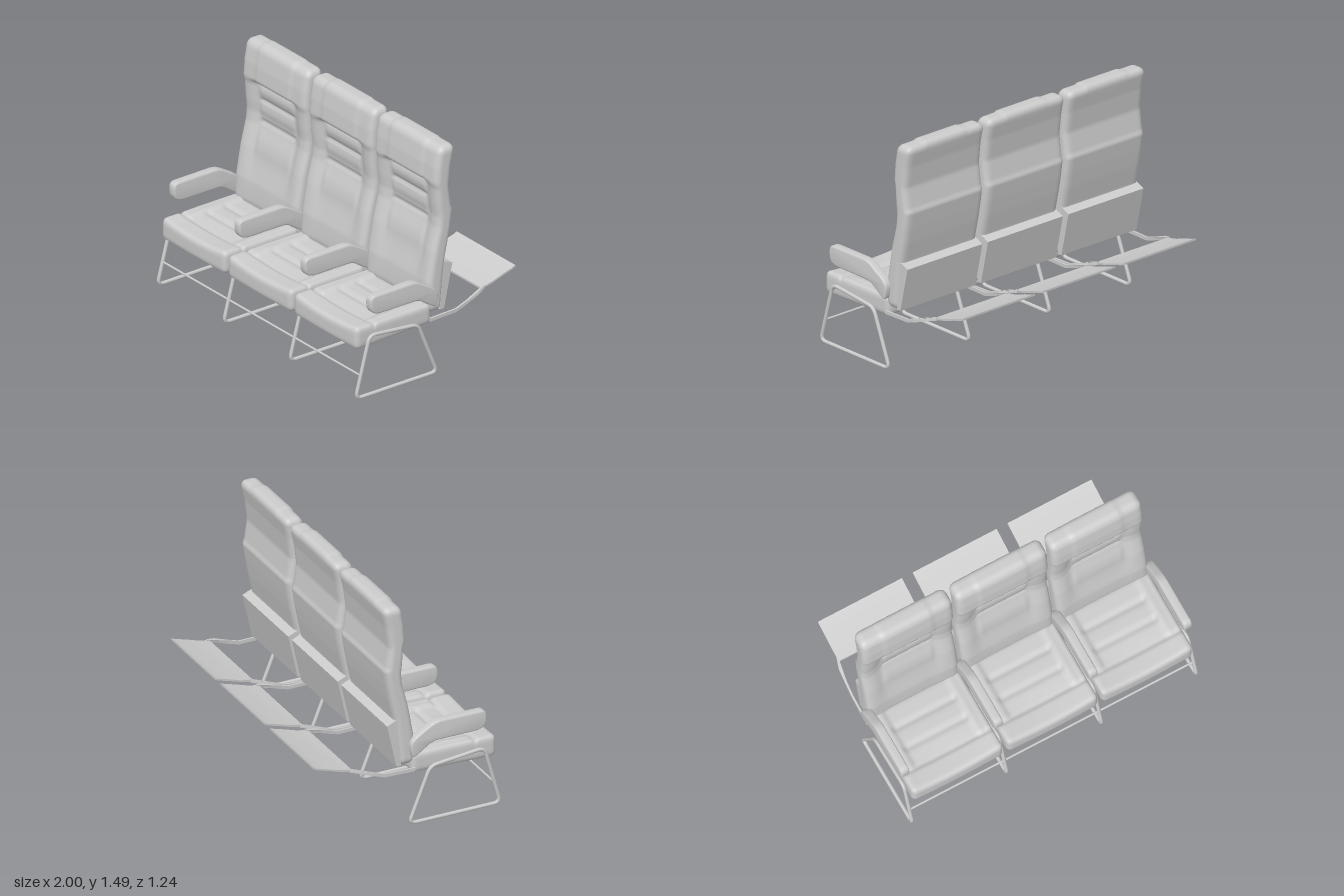
import * as THREE from 'three';
import { mergeVertices, toCreasedNormals } from 'three/addons/utils/BufferGeometryUtils.js';

const mat = new THREE.MeshStandardMaterial({ color: 0xcccccc, roughness: 0.8, side: THREE.DoubleSide });
const PITCH = 0.651, MID = -0.003;
const step = THREE.MathUtils.smoothstep;
const bump = (v, c, w) => Math.exp(-(((v - c) / w) ** 2));

function add(parent, name, geometry, x = 0) {
  const mesh = new THREE.Mesh(geometry, mat);
  mesh.name = name;
  mesh.position.x = x;
  parent.add(mesh);
  return mesh;
}

// Piecewise linear lookup in [[key, value], ...]
function lookup(table, k) {
  for (let i = 1; i < table.length; i++) {
    const [a, va] = table[i - 1], [b, vb] = table[i];
    if (k <= b || i === table.length - 1) {
      return va + (vb - va) * THREE.MathUtils.clamp((k - a) / (b - a), 0, 1);
    }
  }
}

// Dense rounded box whose vertices are then moved by a rule
function pad(size, segs, r, rule) {
  const g = new THREE.BoxGeometry(...size, ...segs);
  g.deleteAttribute('uv');
  g.deleteAttribute('normal');
  const pos = g.attributes.position, p = new THREE.Vector3(), q = new THREE.Vector3();
  const lim = new THREE.Vector3(...size).multiplyScalar(0.5).subScalar(r);
  const low = lim.clone().negate();
  for (let i = 0; i < pos.count; i++) {
    p.fromBufferAttribute(pos, i);
    q.copy(p).clamp(low, lim);
    p.sub(q).setLength(r).add(q);
    rule(p);
    pos.setXYZ(i, p.x, p.y, p.z);
  }
  const merged = mergeVertices(g, 1e-5);
  merged.computeVertexNormals();
  return merged;
}

// Closed outline of [z, y] points with rounded corners
function roundedLoop(pts, r) {
  const shape = new THREE.Shape(), v = pts.map(p => new THREE.Vector2(...p)), n = v.length;
  const toward = (a, b) => a.clone().add(b.clone().sub(a).setLength(Math.min(r, a.distanceTo(b) * 0.48)));
  v.forEach((c, i) => {
    const a = toward(c, v[(i + n - 1) % n]), b = toward(c, v[(i + 1) % n]);
    if (i) shape.lineTo(a.x, a.y); else shape.moveTo(a.x, a.y);
    shape.quadraticCurveTo(c.x, c.y, b.x, b.y);
  });
  shape.closePath();
  return shape;
}

// Side outline extruded across x and centred
function across(shape, width, bevel = 0) {
  const g = new THREE.ExtrudeGeometry(shape, {
    depth: width - 2 * bevel, bevelEnabled: bevel > 0, bevelSize: bevel, bevelOffset: -bevel,
    bevelThickness: bevel, bevelSegments: 3, curveSegments: 6,
  });
  g.translate(0, 0, -(width - 2 * bevel) / 2);
  g.rotateY(-Math.PI / 2);
  return toCreasedNormals(g, 0.6);
}

// Outline of a strip of height t that follows [z, y] points
function strip(pts, t) {
  const top = pts.map(([z, y]) => new THREE.Vector2(z, y + t / 2));
  const bottom = pts.map(([z, y]) => new THREE.Vector2(z, y - t / 2)).reverse();
  return new THREE.Shape([...top, ...bottom]);
}

// Seat cushion: front roll, raised sides, pleated centre panel
function cushionGeometry() {
  return pad([0.626, 0.145, 0.57], [44, 8, 48], 0.032, p => {
    const s = p.y / 0.145 + 0.5, z = p.z + 0.315, ax = Math.abs(p.x);
    const inner = 1 - step(ax, 0.205, 0.23);
    const behind = 1 - step(z, 0.44, 0.465);
    let top = 0.468 - 0.02 * (1 - (ax / 0.313) ** 2) * step(z, 0.3, 0.5);
    top -= 0.014 * bump(z, 0.46, 0.012);
    top -= inner * behind * (0.014 + 0.012 * (bump(z, 0.18, 0.02) + bump(z, 0.32, 0.02)));
    top -= 0.006 * behind * bump(ax, 0.275, 0.008);
    const bottom = 0.335 - 0.015 * step(z, 0.03, 0.6);
    p.y = bottom + (top - bottom) * s;
    p.z = z + 0.006 * (1 - (ax / 0.313) ** 2) * step(z, 0.5, 0.6) - 0.006;
  });
}

// Backrest: curved side profile, headrest, bolsters and stitched creases
const FRONT = [[0.4, 0.035], [0.47, 0.052], [0.6, 0.046], [0.8, 0.01], [0.95, -0.03], [1.02, -0.036],
  [1.1, -0.028], [1.21, -0.022], [1.245, -0.011], [1.35, -0.018], [1.45, -0.035], [1.49, -0.045]];
const BACK = [[0.4, -0.055], [0.72, -0.088], [0.85, -0.116], [0.95, -0.134], [1.055, -0.15], [1.075, -0.14],
  [1.21, -0.12], [1.35, -0.138], [1.45, -0.16], [1.49, -0.165]];

function backGeometry() {
  return pad([0.626, 1.085, 0.14], [40, 88, 10], 0.045, p => {
    const s = p.z / 0.14 + 0.5, y = p.y + 0.9425, ax = Math.abs(p.x);
    const panel = 1 - step(ax, 0.155, 0.18);
    const body = 1 - step(y, 1.232, 1.245);
    let front = lookup(FRONT, y);
    front -= body * step(y, 0.5, 0.85) * 0.02 * (1 - step(ax, 0.16, 0.25));
    front -= 0.008 * body * (1 - step(ax, 0.1, 0.28));
    front += panel * 0.012 * (bump(y, 1.18, 0.04) + bump(y, 1.05, 0.05) + bump(y, 0.85, 0.08));
    front -= panel * 0.014 * (bump(y, 1.235, 0.012) + bump(y, 1.12, 0.01) + bump(y, 0.975, 0.01));
    front += panel * 0.006 * (1 - body);
    const back = lookup(BACK, y);
    p.z = back + (front - back) * s;
    p.y = y + 0.006 * panel * step(y, 1.4, 1.48);
  });
}

// Support arm of the folding table, bent inward toward the tray
function trayArmGeometry(side) {
  const g = across(strip([[0.04, 0.368], [-0.16, 0.37], [-0.24, 0.396], [-0.33, 0.43], [-0.39, 0.446]], 0.022), 0.012);
  const pos = g.attributes.position;
  const bend = [[-0.39, 0.286], [-0.33, 0.304], [-0.16, 0.312], [0.04, 0.318]];
  for (let i = 0; i < pos.count; i++) pos.setX(i, pos.getX(i) + side * lookup(bend, pos.getZ(i)));
  return toCreasedNormals(g, 0.6);
}

export function createModel() {
  const model = new THREE.Group();
  model.name = 'threeSeatBench';

  const cushion = cushionGeometry(), back = backGeometry();
  const pocket = across(new THREE.Shape([[-0.07, 0.72], [-0.095, 0.712], [-0.14, 0.692], [-0.077, 0.405], [-0.045, 0.405]]
    .map(p => new THREE.Vector2(...p))), 0.606);
  const tray = across(strip([[-0.37, 0.441], [-0.45, 0.458], [-0.54, 0.487], [-0.6, 0.504], [-0.628, 0.516]], 0.012), 0.577);
  const arms = [-1, 1].map(trayArmGeometry);

  for (let i = -1; i <= 1; i++) {
    const seat = new THREE.Group();
    seat.name = 'seat';
    seat.position.x = MID + i * PITCH;
    add(seat, 'cushion', cushion);
    add(seat, 'backrest', back);
    add(seat, 'rearPocket', pocket);
    add(seat, 'foldingTray', tray);
    arms.forEach(arm => add(seat, 'trayArm', arm));
    model.add(seat);
  }

  // Armrests and bent tube legs between and beside the seats
  const armrest = across(roundedLoop([[0.512, 0.67], [0.17, 0.672], [0.03, 0.59], [-0.002, 0.55], [0.012, 0.462],
    [0.035, 0.465], [0.15, 0.543], [0.47, 0.543], [0.512, 0.575]], 0.04), 0.057, 0.01);
  const loop = roundedLoop([[0.612, 0.012], [-0.004, 0.012], [0.14, 0.368], [0.505, 0.405]], 0.045).getSpacedPoints(90);
  loop.pop();
  const legPath = new THREE.CatmullRomCurve3(loop.map(p => new THREE.Vector3(0, p.y, p.x)), true);
  const leg = new THREE.TubeGeometry(legPath, 110, 0.012, 10, true);

  for (const k of [-1.5, -0.5, 0.5, 1.5]) {
    add(model, 'armrest', armrest, Math.abs(k) > 1 ? Math.sign(k) * 0.971 : MID + k * PITCH);
    add(model, 'legFrame', leg, MID + k * PITCH);
  }

  // Crossbar joining the front legs
  const bar = new THREE.CylinderGeometry(0.007, 0.007, PITCH * 3, 10);
  bar.rotateZ(Math.PI / 2);
  add(model, 'crossbar', bar, MID).position.set(MID, 0.155, 0.572);

  return model;
}
